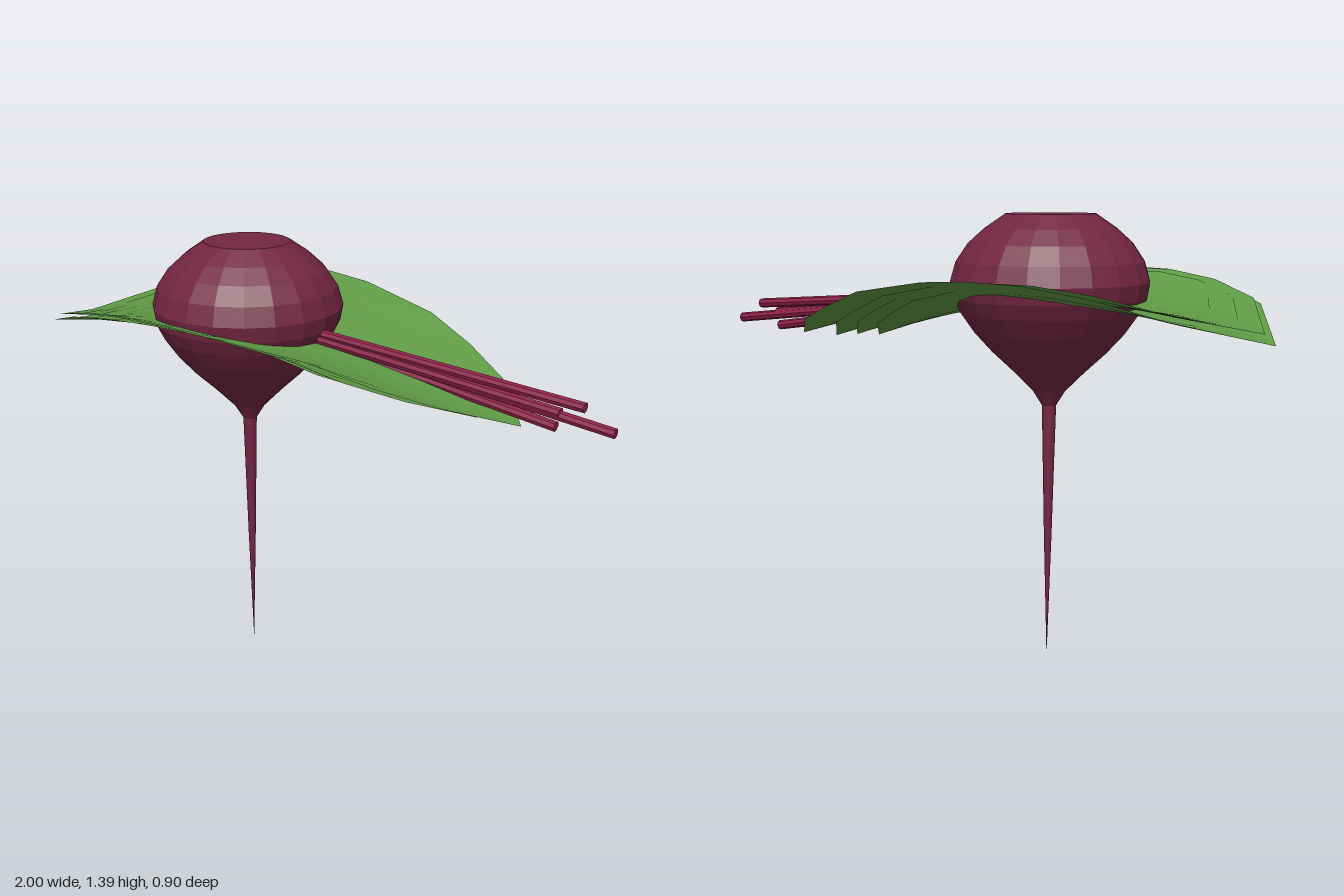
import * as THREE from 'three';

const mat = (name, color, extra = {}) =>
  Object.assign(new THREE.MeshStandardMaterial({ color, flatShading: true, ...extra }), { name });

const ROOT_X = -0.275;

// Leaf stations from tip to stalk: x, half width, midrib height, edge height
const STATIONS = [
  [-1, 0, 1.04, 1.04], [-0.82, 0.325, 1.085, 1.125], [-0.64, 0.41, 1.11, 1.18],
  [-0.45, 0.45, 1.125, 1.21], [-0.27, 0.45, 1.13, 1.215], [-0.1, 0.425, 1.12, 1.205],
  [0.2, 0.345, 1.085, 1.16], [0.38, 0.28, 1.055, 1.1], [0.55, 0.18, 1.02, 1.045],
  [0.71, 0, 0.975, 0.975],
];

// Cupped leaf blade built from cross-sections
function leafGeometry() {
  const n = 8, pos = [], idx = [];
  for (const [x, w, mid, edge] of STATIONS) {
    for (let j = 0; j <= n; j++) {
      const t = (j / n) * 2 - 1;
      pos.push(x, mid + (edge - mid) * t * t, t * w);
    }
  }
  for (let i = 0; i < STATIONS.length - 1; i++) {
    for (let j = 0; j < n; j++) {
      const a = i * (n + 1) + j, b = a + n + 1;
      idx.push(a, a + 1, b, a + 1, b + 1, b);
    }
  }
  const g = new THREE.BufferGeometry();
  g.setAttribute('position', new THREE.Float32BufferAttribute(pos, 3));
  g.setIndex(idx);
  g.computeVertexNormals();
  return g;
}

export function createModel() {
  const model = new THREE.Group();
  model.name = 'rootVegetable';
  const skin = mat('beet skin', 0x722641);
  const stalkRed = mat('stalk red', 0x8f1f49);
  const leafGreen = mat('leaf green', 0x5f9a45, { side: THREE.DoubleSide });

  // Bulb with cut top and long tapering tail
  const profile = [
    [0, 0], [0.012, 0.4], [0.022, 0.81], [0.05, 0.855], [0.11, 0.915], [0.175, 0.975],
    [0.23, 1.035], [0.272, 1.095], [0.295, 1.14], [0.304, 1.19], [0.287, 1.25],
    [0.25, 1.305], [0.2, 1.35], [0.137, 1.393], [0, 1.393],
  ].map(([r, y]) => new THREE.Vector2(r, y));
  const bulb = new THREE.Mesh(new THREE.LatheGeometry(profile, 20), skin);
  bulb.name = 'bulb';
  bulb.position.x = ROOT_X;
  model.add(bulb);

  // Stacked leaves: far tip, near tip, width scale, tilt, lift
  const blade = leafGeometry();
  [
    [-1, 0.71, 1, 0, 0],
    [-0.965, 0.57, 0.95, -0.025, 0.004],
    [-0.89, 0.48, 0.88, -0.035, 0.004],
    [-0.8, 0.39, 0.82, -0.055, 0.002],
  ].forEach(([x0, x1, width, tilt, lift], i) => {
    const s = (x1 - x0) / 1.71;
    const leaf = new THREE.Mesh(blade, leafGreen);
    leaf.name = `leaf${i + 1}`;
    leaf.scale.set(s, s, width);
    leaf.position.set(x0 + s - ROOT_X, 1.13 * (1 - s), 0);
    const pivot = new THREE.Group();
    pivot.name = `leafPivot${i + 1}`;
    pivot.position.set(ROOT_X, 1.13 + lift, 0);
    leaf.position.y -= 1.13;
    pivot.rotation.z = tilt;
    pivot.add(leaf);
    model.add(pivot);
  });

  // Straight leaf stalks fanning out of the bulb
  [
    [1.14, 0.9, 1.067, -0.003], [1.13, 0.995, 1.012, 0],
    [1.125, 0.83, 1.04, 0.004], [1.118, 0.815, 0.995, -0.004],
  ].forEach(([y0, x1, y1, z], i) => {
    const a = new THREE.Vector3(-0.05, y0, z), b = new THREE.Vector3(x1, y1, z);
    const dir = b.clone().sub(a);
    const stalk = new THREE.Mesh(new THREE.CylinderGeometry(0.016, 0.016, dir.length(), 8), stalkRed);
    stalk.name = `stalk${i + 1}`;
    stalk.position.copy(a).add(b).multiplyScalar(0.5);
    stalk.quaternion.setFromUnitVectors(new THREE.Vector3(0, 1, 0), dir.normalize());
    model.add(stalk);
  });

  return model;
}
